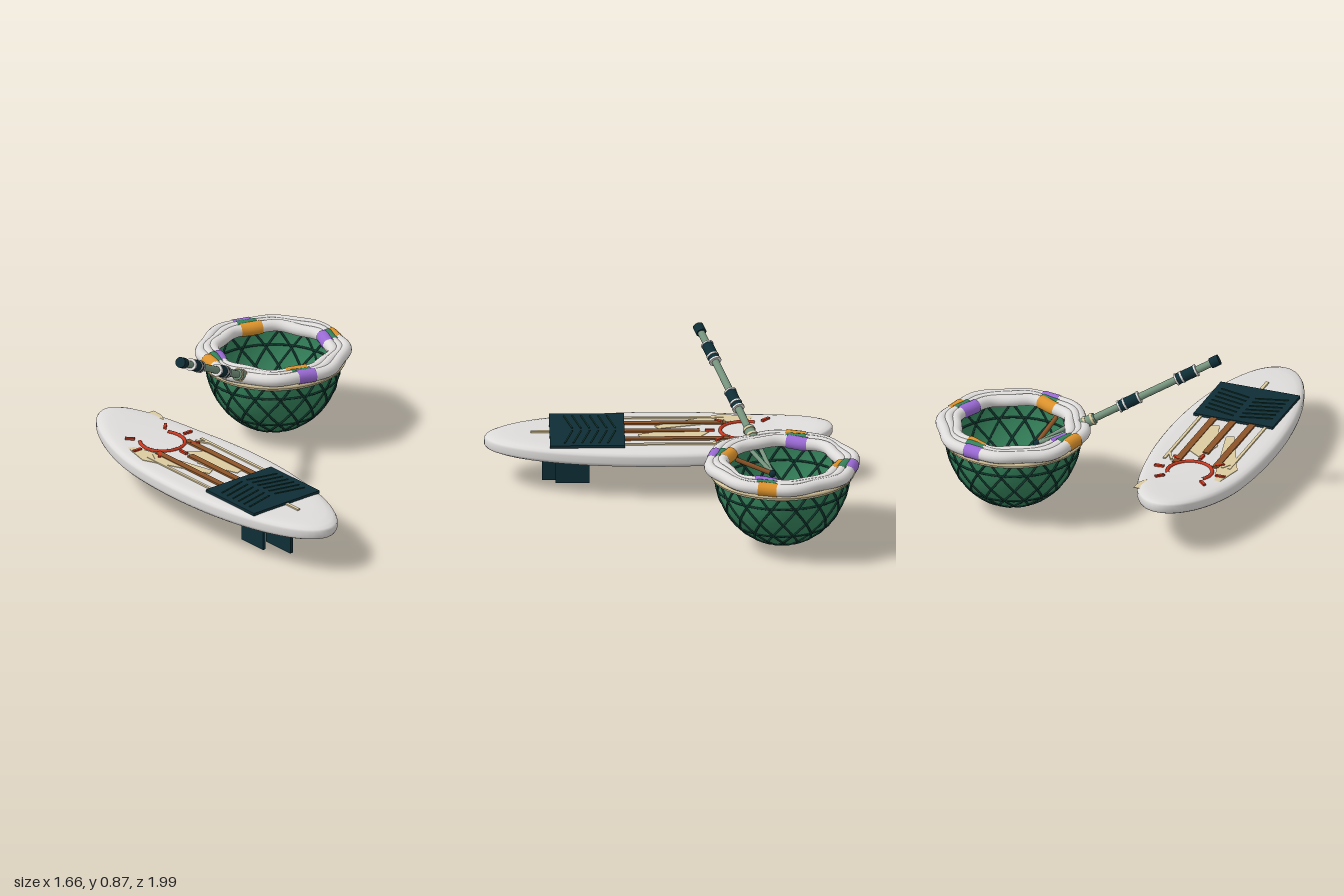
import * as THREE from 'three';
import { mergeVertices } from 'three/addons/utils/BufferGeometryUtils.js';

const mat = (name, color, side = THREE.FrontSide) => {
  const m = new THREE.MeshStandardMaterial({ color, side });
  m.name = name;
  return m;
};
const M = {
  white: mat('white', 0xdedcda),
  navy: mat('navy', 0x0f2e36),
  net: mat('darkGreen', 0x12382f),
  cream: mat('cream', 0xdccba0, THREE.DoubleSide),
  brown: mat('brown', 0x8c5428),
  red: mat('red', 0xc8381f),
  orange: mat('orange', 0xdc922c),
  purple: mat('purple', 0x9a6ad4),
  green: mat('green', 0x35835c, THREE.DoubleSide),
  sage: mat('sage', 0x77957f),
};
const V = (x, y, z) => new THREE.Vector3(x, y, z);

function add(parent, name, geo, material, x = 0, y = 0, z = 0, ry = 0) {
  const m = new THREE.Mesh(geo, material);
  m.name = name;
  m.position.set(x, y, z);
  m.rotation.y = ry;
  parent.add(m);
  return m;
}

// Cylinder running between two points
function rod(parent, name, a, b, r, material, sides = 16) {
  const m = add(parent, name, new THREE.CylinderGeometry(r, r, a.distanceTo(b), sides), material);
  m.position.copy(a).lerp(b, 0.5);
  m.quaternion.setFromUnitVectors(V(0, 1, 0), b.clone().sub(a).normalize());
  return m;
}

// Tube through points given by f(t), t from 0 to 1
function tube(parent, name, f, n, radius, material, closed = false, sides = 8) {
  const pts = [];
  for (let i = 0; i < (closed ? n : n + 1); i++) pts.push(f(i / n));
  const curve = new THREE.CatmullRomCurve3(pts, closed);
  return add(parent, name, new THREE.TubeGeometry(curve, n, radius, sides, closed), material);
}

// Upward lift of the board's nose; z is measured in the board's own frame
const lift = (z) => 0.055 * Math.pow(Math.max(0, (-z - 0.4) / 0.53), 1.5);

function createBoard() {
  const g = new THREE.Group();
  g.name = 'surfboard';
  g.position.set(-0.52, 0, 0.07);
  const T = 0.272; // deck height

  // Hull: rounded-edge disc stretched to an oval, nose bent upward
  const rims = [[0, 0.182], [0.3, 0.182], [0.6, 0.182], [0.8, 0.182], [0.9, 0.183], [0.96, 0.19], [0.99, 0.2],
    [1, 0.212], [1, 0.243], [0.99, 0.254], [0.96, 0.264], [0.9, 0.271], [0.8, T], [0.6, T], [0.3, T], [0, T]];
  let hull = new THREE.LatheGeometry(rims.map(([r, y]) => new THREE.Vector2(r, y)), 72);
  hull.scale(0.31, 1, 0.93);
  const p = hull.attributes.position;
  for (let i = 0; i < p.count; i++) p.setY(i, p.getY(i) + lift(p.getZ(i)));
  hull.deleteAttribute('uv');
  hull.deleteAttribute('normal');
  hull = mergeVertices(hull);
  hull.computeVertexNormals();
  add(g, 'hull', hull, M.white);

  // Traction pad with chevron ridges
  add(g, 'tractionPad', new THREE.BoxGeometry(0.455, 0.016, 0.4), M.navy, 0, T + 0.006, 0.38);
  for (let i = 0; i < 6; i++) for (const s of [-1, 1])
    add(g, 'padRidge', new THREE.BoxGeometry(0.18, 0.006, 0.008), M.net, s * 0.105, T + 0.015, 0.25 + i * 0.046, -s * 0.24);

  // Deck stripes
  for (const [x, z0] of [[-0.11, -0.36], [0, -0.22], [0.11, -0.38]])
    add(g, 'brownStripe', new THREE.BoxGeometry(0.036, 0.012, 0.2 - z0), M.brown, x, T + 0.004, (0.2 + z0) / 2);
  for (const s of [-1, 1]) {
    add(g, 'thinStripe', new THREE.BoxGeometry(0.016, 0.01, 0.54), M.cream, s * 0.185, T + 0.003, -0.08);
    add(g, 'thinStripeTip', new THREE.BoxGeometry(0.014, 0.01, 0.09), M.cream, s * 0.165, T + 0.003, -0.31, s * 0.5);
  }
  add(g, 'stringer', new THREE.BoxGeometry(0.018, 0.01, 0.12), M.cream, 0, T + 0.003, 0.62);

  // Pale angular patches
  const patches = [
    [0.002, [-0.23, -0.34], [-0.18, -0.56], [-0.13, -0.4], [-0.03, 0], [-0.07, 0.02]],
    [0.002, [0.02, -0.27], [0.09, -0.22], [0.12, 0.09], [0.05, 0.11], [-0.03, -0.12]],
    [0.016, [0.14, -0.76], [0.2, -0.76], [0.195, -0.69], [0.17, -0.64]],
  ];
  for (const [h, ...pts] of patches) {
    const shape = new THREE.Shape(pts.map(([x, z]) => new THREE.Vector2(x, -z)));
    const geo = new THREE.ExtrudeGeometry(shape, { depth: 0.003, bevelEnabled: false }).rotateX(-Math.PI / 2);
    add(g, 'palePatch', geo, M.cream, 0, T + h, 0);
  }

  // Sun: open ring and rays
  const cz = -0.45;
  tube(g, 'sunRing', (t) => {
    const a = -0.62 + t * (Math.PI + 1.24);
    const z = cz + 0.12 * Math.sin(a);
    return V(0.12 * Math.cos(a), T + 0.004 + lift(z), z);
  }, 40, 0.01, M.red);
  for (const a of [-0.79, 0, 0.79, 1.571, 2.356, 3.142, 3.93]) {
    const z = cz + 0.175 * Math.sin(a);
    add(g, 'sunRay', new THREE.BoxGeometry(0.052, 0.014, 0.016), M.red, 0.175 * Math.cos(a), T + 0.005 + lift(z), z, -a);
  }

  // Three fins
  add(g, 'centerFin', new THREE.BoxGeometry(0.018, 0.2, 0.2), M.navy, 0, 0.1, 0.52);
  for (const s of [-1, 1])
    add(g, 'sideFin', new THREE.BoxGeometry(0.018, 0.16, 0.18), M.navy, s * 0.13, 0.115, 0.46);
  return g;
}

function createBasket() {
  const g = new THREE.Group();
  g.name = 'netBasket';
  g.position.set(0.415, 0, -0.575);
  const onBowl = (phi, th, r = 0.36) =>
    V(r * Math.sin(phi) * Math.cos(th), 0.425 - 0.402 * Math.cos(phi), r * Math.sin(phi) * Math.sin(th));

  // Bowl
  const prof = [];
  for (let i = 0; i <= 20; i++) {
    const v = onBowl((i / 20) * Math.PI / 2, 0);
    prof.push(new THREE.Vector2(v.x, v.y));
  }
  add(g, 'bowl', new THREE.LatheGeometry(prof, 48), M.green);

  // Crossing net cords and their hoops
  for (let i = 0; i < 16; i++) for (const s of [-1, 1])
    tube(g, 'netCord', (t) => onBowl(0.1 + t * (Math.PI / 2 - 0.1), (i / 16) * Math.PI * 2 + s * t * 1.18, 0.361), 22, 0.0065, M.net, false, 5);
  for (const phi of [0.1, 0.24, 0.82, 1.36])
    tube(g, 'netHoop', (t) => onBowl(phi, t * Math.PI * 2, 0.361), 48, 0.006, M.net, true, 5);

  // Cream hoop under the rim
  for (const [r, y] of [[0.38, 0.425], [0.372, 0.412]])
    add(g, 'rimHoop', new THREE.TorusGeometry(r, 0.011, 8, 64).rotateX(Math.PI / 2), M.cream, 0, y, 0);

  // Padded rim of three wavy strands, with coloured wraps at four places
  const strand = (k, a) => {
    const r = 0.312 + 0.033 * k + 0.009 * Math.cos(8 * a + 0.6 * k);
    return V(r * Math.cos(a), 0.466 + 0.003 * Math.sin(5 * a + 2 * k), r * Math.sin(a));
  };
  for (let k = 0; k < 3; k++) {
    tube(g, 'rimStrand', (t) => strand(k, t * Math.PI * 2), 96, 0.033, M.white, true, 14);
    for (let q = 0; q < 4; q++) {
      const a0 = -1.335 + q * Math.PI / 2;
      const half = [0.19, 0.16, 0.14][k];
      const colors = q % 2 ? [M.purple, M.green, M.orange] : [M.orange, M.green, M.purple];
      const shift = [0.06, 0.02, -0.02][k];
      tube(g, 'rimWrap', (t) => strand(k, a0 + shift + (t * 2 - 1) * half), 8, 0.0375, colors[k], false, 14);
    }
  }
  return g;
}

function createHandle() {
  const g = new THREE.Group();
  g.name = 'handle';
  const a = V(-0.595, 0.848, -0.143), b = V(0.09, 0.465, -0.432);
  const at = (t) => a.clone().lerp(b, t);
  const band = (name, t0, t1, r, m) => rod(g, name, at(t0), at(t1), r, m);

  band('shaft', 0.02, 1, 0.02, M.sage);
  band('endCap', 0, 0.06, 0.029, M.navy);

  // Grips with pale rings
  for (const c of [0.235, 0.645]) {
    band('grip', c - 0.065, c + 0.065, 0.031, M.navy);
    for (const d of [-0.07, 0.03, 0.07]) band('gripRing', c + d - 0.006, c + d + 0.006, 0.034, M.white);
  }

  // Socket where the shaft meets the rim
  band('socket', 0.89, 0.99, 0.03, M.sage);
  band('socketRing', 0.9, 0.915, 0.034, M.cream);
  band('socketRing', 0.95, 0.965, 0.034, M.cream);

  // Fork and brace inside the basket
  const tip = V(0.3, 0.36, -0.525);
  rod(g, 'forkProng', V(0.09, 0.455, -0.45), tip, 0.012, M.sage);
  rod(g, 'forkProng', V(0.13, 0.455, -0.39), tip, 0.012, M.sage);
  rod(g, 'brace', V(0.265, 0.43, -0.33), tip, 0.013, M.brown);
  add(g, 'forkJoint', new THREE.SphereGeometry(0.02, 12, 8), M.navy, tip.x, tip.y, tip.z);
  return g;
}

export function createModel() {
  const root = new THREE.Group();
  root.name = 'surfboardAndNet';
  root.add(createBoard(), createBasket(), createHandle());
  return root;
}
